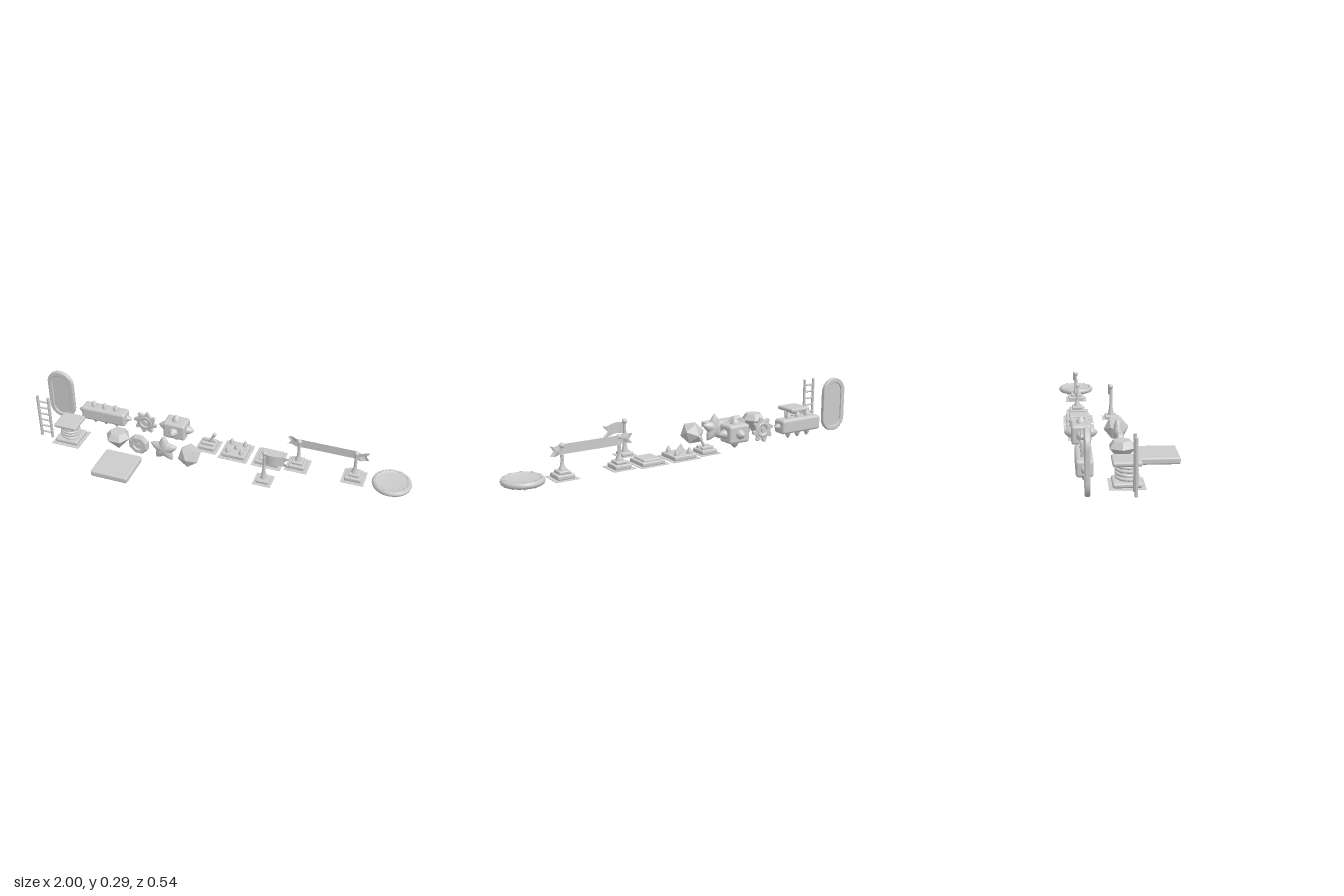
import * as THREE from 'three';
import { RoundedBoxGeometry } from 'three/addons/geometries/RoundedBoxGeometry.js';

const smooth = new THREE.MeshStandardMaterial({ color: 0xcccccc });
const flat = new THREE.MeshStandardMaterial({ color: 0xcccccc, flatShading: true });
const thin = new THREE.MeshStandardMaterial({ color: 0xcccccc, side: THREE.DoubleSide });

const group = (parent, name, x, y, z) => {
  const g = new THREE.Group();
  g.name = name;
  g.position.set(x, y, z);
  parent.add(g);
  return g;
};
const add = (parent, name, geo, x = 0, y = 0, z = 0, mat = smooth) => {
  const m = new THREE.Mesh(geo, mat);
  m.name = name;
  m.position.set(x, y, z);
  parent.add(m);
  return m;
};
const slab = (w, h, d, r = 0.006) => new RoundedBoxGeometry(w, h, d, 3, r);
const cyl = (r1, r2, h, n = 20) => new THREE.CylinderGeometry(r1, r2, h, n);
const lathe = (pts, n = 24) => new THREE.LatheGeometry(pts.map(p => new THREE.Vector2(...p)), n);

// pointed dome growing along +y
const spikeGeo = (r, h) => lathe([[r, 0], [r * 0.94, h * 0.25], [r * 0.72, h * 0.55], [r * 0.38, h * 0.85], [r * 0.15, h * 0.98], [0, h]], 20);
const spike = (parent, r, h, pos, dir) => {
  const m = add(parent, 'spike', spikeGeo(r, h), ...pos);
  m.quaternion.setFromUnitVectors(new THREE.Vector3(0, 1, 0), new THREE.Vector3(...dir));
};
const groundPlate = (parent, w) => add(parent, 'groundPlate', new THREE.BoxGeometry(w, 0.002, w), 0, 0.002, 0);

// cloth strip with waves and swallow-tail ends
function cloth(w, h, wave, notchLeft, notchRight) {
  const g = new THREE.PlaneGeometry(w, h, 48, 8);
  const p = g.attributes.position;
  for (let i = 0; i < p.count; i++) {
    const u = p.getX(i) / w + 0.5, v = 1 - Math.abs(p.getY(i)) / (h / 2);
    const [dy, dz] = wave(u);
    const cutR = notchRight * v * Math.max(0, (u - 0.7) / 0.3);
    const cutL = notchLeft * v * Math.max(0, (0.3 - u) / 0.3);
    p.setXYZ(i, p.getX(i) - cutR + cutL, p.getY(i) + dy, dz);
  }
  g.computeVertexNormals();
  return g;
}

function post(parent, top, w) {
  add(parent, 'postBase', slab(w, 0.022, w), 0, 0.013, 0);
  add(parent, 'postStep', slab(w * 0.68, 0.016, w * 0.68), 0, 0.031, 0);
  add(parent, 'postFoot', lathe([[0.018, 0.037], [0.017, 0.046], [0.01, 0.06], [0.008, 0.075]]));
  add(parent, 'pole', cyl(0.008, 0.008, top - 0.05), 0, (top + 0.03) / 2, 0);
  add(parent, 'poleKnob', new THREE.SphereGeometry(0.013, 18, 12), 0, top - 0.013, 0);
}

function stadium(hw, hh) {
  const s = new THREE.Shape(), k = hh - hw;
  s.absarc(0, k, hw, 0, Math.PI, false);
  s.absarc(0, -k, hw, Math.PI, Math.PI * 2, false);
  s.closePath();
  return s;
}

export function createModel() {
  const root = new THREE.Group();
  root.name = 'platformerKit';
  const back = -0.175;

  // upright oval frame with recessed panel
  const oval = group(root, 'ovalFrame', -0.925, 0.145, back + 0.006);
  const rim = stadium(0.07, 0.14);
  rim.holes.push(stadium(0.054, 0.124));
  add(oval, 'frameRim', new THREE.ExtrudeGeometry(rim, { depth: 0.012, bevelSize: 0.005, bevelThickness: 0.005, bevelSegments: 3, curveSegments: 24 }), 0, 0, -0.006);
  add(oval, 'framePanel', new THREE.ExtrudeGeometry(stadium(0.056, 0.126), { depth: 0.008, bevelEnabled: false, curveSegments: 24 }), 0, 0, -0.004);

  // ladder
  const ladder = group(root, 'ladder', -0.925, 0, 0.029);
  for (const s of [-1, 1]) {
    add(ladder, 'rail', cyl(0.0075, 0.0075, 0.25, 12), s * 0.031, 0.127, 0);
  }
  for (let i = 0; i < 6; i++) {
    add(ladder, 'rung', cyl(0.005, 0.005, 0.064, 10), 0, 0.03 + i * 0.038, 0).rotation.z = Math.PI / 2;
  }

  // spring pad
  const spring = group(root, 'springPad', -0.795, 0, 0.002);
  groundPlate(spring, 0.155);
  add(spring, 'springBase', slab(0.126, 0.022, 0.126, 0.009), 0, 0.014, 0);
  add(spring, 'springTop', slab(0.126, 0.022, 0.126, 0.009), 0, 0.107, 0);
  const coil = [];
  for (let i = 0; i <= 64; i++) {
    const a = i / 64 * Math.PI * 8;
    coil.push(new THREE.Vector3(Math.cos(a) * 0.045, 0.026 + 0.07 * i / 64, Math.sin(a) * 0.045));
  }
  add(spring, 'coil', new THREE.TubeGeometry(new THREE.CatmullRomCurve3(coil), 160, 0.007, 8));

  // spiked beam
  const beam = group(root, 'spikedBeam', -0.672, 0.071, back);
  add(beam, 'beamBody', slab(0.256, 0.076, 0.076, 0.014));
  for (const s of [-1, 1]) {
    for (const x of [-0.064, 0, 0.064]) spike(beam, 0.017, 0.034, [x, s * 0.036, 0], [0, s, 0]);
    spike(beam, 0.017, 0.03, [s * 0.126, 0, 0], [s, 0, 0]);
  }

  // spiked block
  const block = group(root, 'spikedBlock', -0.257, 0.079, back);
  add(block, 'blockBody', slab(0.124, 0.094, 0.094, 0.014));
  for (const s of [-1, 1]) {
    spike(block, 0.024, 0.038, [s * 0.06, 0, 0], [s, 0, 0]);
    spike(block, 0.024, 0.034, [0, s * 0.045, 0], [0, s, 0]);
    spike(block, 0.026, 0.034, [0, 0, s * 0.045], [0, 0, s]);
  }

  // saw wheel
  const saw = group(root, 'sawWheel', -0.436, 0.07, back);
  const teeth = new THREE.Shape();
  for (let i = 0; i < 8; i++) {
    [[0, 0.045], [0.3, 0.05], [0.55, 0.064], [0.7, 0.062]].forEach(([da, r], k) => {
      const a = (i / 8) * Math.PI * 2 + da;
      teeth[i + k ? 'lineTo' : 'moveTo'](r * Math.cos(a), r * Math.sin(a));
    });
  }
  teeth.closePath();
  const eye = new THREE.Path();
  eye.absarc(0, 0, 0.026, 0, Math.PI * 2, true);
  teeth.holes.push(eye);
  add(saw, 'sawBlade', new THREE.ExtrudeGeometry(teeth, { depth: 0.01, bevelSize: 0.002, bevelThickness: 0.003, bevelSegments: 2 }), 0, 0, -0.005);
  add(saw, 'sawRing', new THREE.TorusGeometry(0.032, 0.012, 12, 32));
  add(saw, 'sawHub', cyl(0.014, 0.014, 0.03)).rotation.x = Math.PI / 2;
  add(saw, 'sawWeb', cyl(0.03, 0.03, 0.008)).rotation.x = Math.PI / 2;

  // lever switch
  const lever = group(root, 'lever', -0.075, 0, back);
  groundPlate(lever, 0.118);
  add(lever, 'leverBase', slab(0.088, 0.022, 0.088), 0, 0.013, 0);
  for (const s of [-1, 1]) add(lever, 'leverCheek', slab(0.07, 0.018, 0.018), 0, 0.03, s * 0.018);
  const arm = group(lever, 'leverArm', 0, 0.025, 0);
  arm.rotation.z = -0.5;
  add(arm, 'leverRod', cyl(0.006, 0.006, 0.06, 12), 0, 0.03, 0);
  add(arm, 'leverGrip', slab(0.018, 0.028, 0.018), 0, 0.062, 0);

  // spike trap
  const trap = group(root, 'spikeTrap', 0.08, 0, back);
  groundPlate(trap, 0.157);
  add(trap, 'trapBase', slab(0.126, 0.022, 0.126), 0, 0.013, 0);
  for (const [x, z] of [[0, 0], [1, 1], [1, -1], [-1, 1], [-1, -1]]) {
    spike(trap, 0.014, 0.033, [x * 0.037, 0.023, z * 0.037], [0, 1, 0]);
  }

  // pressure plate
  const button = group(root, 'pressurePlate', 0.26, 0, back);
  groundPlate(button, 0.157);
  add(button, 'plateBase', slab(0.126, 0.02, 0.126), 0, 0.012, 0);
  add(button, 'platePad', slab(0.096, 0.014, 0.096), 0, 0.024, 0);

  // banner on two posts
  const banner = group(root, 'finishBanner', 0.561, 0, back);
  for (const s of [-1, 1]) {
    const p = group(banner, 'bannerPost', s * 0.147, 0, 0);
    groundPlate(p, 0.118);
    post(p, 0.165, 0.086);
  }
  add(banner, 'bannerCloth', cloth(0.425, 0.047, u => {
    const e = Math.max(0, Math.abs(u - 0.5) - 0.35);
    return [0.006 * Math.sin(e * 20) * Math.sign(0.5 - u), 0.007 * Math.sin(e * 40)];
  }, 0.018, 0.018), 0, 0.137, -0.01, thin);

  // round pad with bolted rim
  const pad = group(root, 'roundPad', 0.9, 0.02, back + 0.003);
  add(pad, 'padBody', lathe([[0, -0.008], [0.074, -0.008], [0.076, -0.014], [0.09, -0.014], [0.097, -0.009], [0.1, 0],
    [0.097, 0.009], [0.09, 0.014], [0.076, 0.014], [0.074, 0.006], [0, 0.006]], 48));
  add(pad, 'padBand', new THREE.TorusGeometry(0.0975, 0.0025, 8, 48)).rotation.x = Math.PI / 2;
  for (let i = 0; i < 10; i++) {
    const a = i / 10 * Math.PI * 2;
    add(pad, 'padBolt', cyl(0.005, 0.005, 0.035, 10), 0.085 * Math.cos(a), 0, 0.085 * Math.sin(a));
  }

  // faceted gem
  const gem = group(root, 'gem', -0.516, 0, 0.003);
  add(gem, 'gemBody', lathe([[0, 0.003], [0.066, 0.082], [0.042, 0.113], [0, 0.113]], 6), 0, 0, 0, flat).rotation.y = Math.PI / 2;

  // eight-sided coin
  const coin = group(root, 'coin', -0.398, 0.06, 0.003);
  const coinGeo = lathe([[0, -0.008], [0.026, -0.008], [0.03, -0.017], [0.046, -0.017], [0.056, -0.01], [0.056, 0.01],
    [0.046, 0.017], [0.03, 0.017], [0.026, 0.008], [0, 0.008]], 8);
  coinGeo.rotateY(Math.PI / 8).rotateX(Math.PI / 2);
  add(coin, 'coinBody', coinGeo, 0, 0, 0, flat);
  add(coin, 'coinBoss', cyl(0.012, 0.014, 0.026, 8), 0, 0, 0, flat).rotation.x = Math.PI / 2;

  // puffed star: a ball pulled into five points
  const starGeo = new THREE.SphereGeometry(1, 60, 24).rotateX(Math.PI / 2);
  const sp = starGeo.attributes.position;
  for (let i = 0; i < sp.count; i++) {
    const x = sp.getX(i), y = sp.getY(i);
    const a = Math.atan2(x, y), step = Math.PI * 2 / 5;
    const d = Math.abs(a - Math.round(a / step) * step) / (step / 2);
    const r = 0.044 + 0.032 * Math.pow(1 - d, 1.3);
    sp.setXYZ(i, x * r, y * r, sp.getZ(i) * 0.023);
  }
  starGeo.computeVertexNormals();
  add(root, 'star', starGeo, -0.257, 0.066, 0.002);

  // twenty-sided crystal
  const crystal = add(root, 'crystal', new THREE.IcosahedronGeometry(0.062, 0), -0.117, 0.059, 0.003, flat);
  crystal.rotation.set(0.45, 0, 0);

  // flag on a pole
  const flag = group(root, 'flag', 0.282, 0, 0.002);
  groundPlate(flag, 0.094);
  add(flag, 'flagBase', slab(0.066, 0.018, 0.066), 0, 0.011, 0);
  add(flag, 'flagFoot', lathe([[0.018, 0.018], [0.015, 0.03], [0.0095, 0.06], [0.008, 0.08]]));
  add(flag, 'flagPole', cyl(0.008, 0.008, 0.155), 0, 0.095, 0);
  add(flag, 'flagKnob', new THREE.SphereGeometry(0.013, 18, 12), 0, 0.173, 0);
  add(flag, 'flagCloth', cloth(0.126, 0.055, u => [0.004 * Math.sin(u * 5), 0.009 * Math.sin(u * 5.5)], 0, 0.03), 0.064, 0.139, 0, thin);

  // floor tile
  add(root, 'floorTile', slab(0.2, 0.033, 0.2, 0.009), -0.455, 0.0205, 0.167);

  return root;
}
